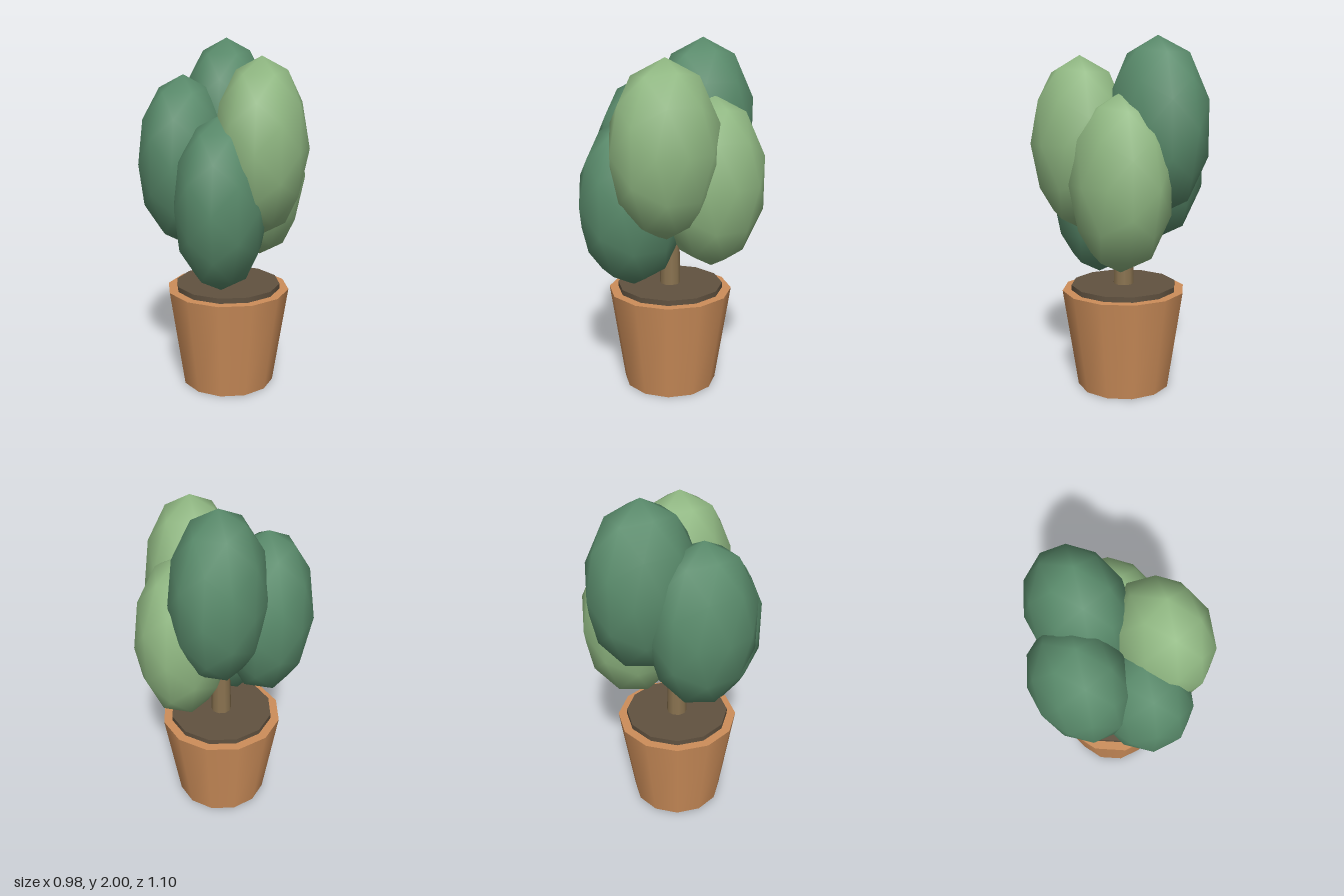
import * as THREE from 'three';

const paint = (name, color) => {
  const m = new THREE.MeshStandardMaterial({ color });
  m.name = name;
  return m;
};

export function createModel() {
  const terracotta = paint('terracotta', 0xcd8e5a);
  const earth = paint('earth', 0x615240);
  const bark = paint('bark', 0x8a7350);
  const darkLeaf = paint('darkLeaf', 0x5a8c6c);
  const lightLeaf = paint('lightLeaf', 0x91b983);

  const group = new THREE.Group();
  group.name = 'pottedShrub';

  // Pot, soil and trunk share one axis, slightly off the foliage centre
  const stack = (name, rTop, rBottom, y0, y1, sides, material) => {
    const mesh = new THREE.Mesh(new THREE.CylinderGeometry(rTop, rBottom, y1 - y0, sides), material);
    mesh.name = name;
    mesh.position.set(0.025, (y0 + y1) / 2, 0);
    group.add(mesh);
  };
  stack('pot', 0.357, 0.27, 0, 0.575, 12, terracotta);
  stack('soil', 0.305, 0.305, 0.56, 0.605, 12, earth);
  stack('trunk', 0.05, 0.06, 0.59, 1.2, 10, bark);

  // Five equal egg-shaped leaf clumps, stepping down around the trunk
  const clump = new THREE.IcosahedronGeometry(1, 1);
  const clumps = [
    ['backClump', -0.02, 1.515, -0.232, darkLeaf],
    ['frontLeftClump', 0.225, 1.417, 0.137, lightLeaf],
    ['rightClump', -0.226, 1.315, 0.013, darkLeaf],
    ['backLeftClump', 0.193, 1.215, -0.177, lightLeaf],
    ['frontClump', 0.022, 1.115, 0.232, darkLeaf],
  ];
  for (const [name, x, y, z, material] of clumps) {
    const mesh = new THREE.Mesh(clump, material);
    mesh.name = name;
    mesh.position.set(x, y, z);
    mesh.scale.set(0.262, 0.485, 0.318);
    group.add(mesh);
  }

  return group;
}
